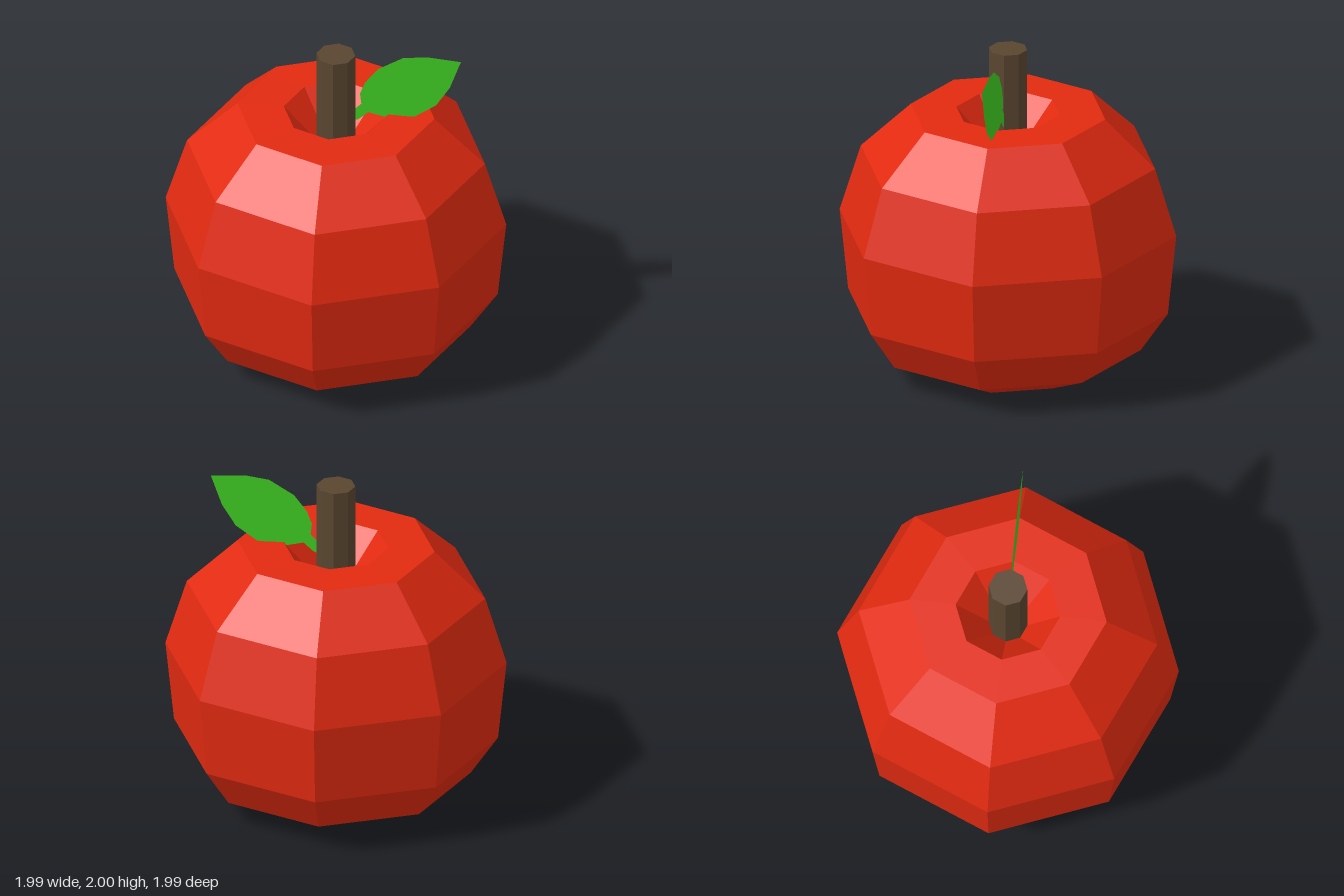
import * as THREE from 'three';

const SIDES = 8;

function part(name, geometry, color, side = THREE.FrontSide) {
  const material = new THREE.MeshStandardMaterial({ color, flatShading: true, side });
  const mesh = new THREE.Mesh(geometry, material);
  mesh.name = name;
  return mesh;
}

export function createModel() {
  const model = new THREE.Group();
  model.name = 'apple';

  // Faceted body: bottom hollow, outer wall, top hollow and a narrow core
  const profile = [
    [0.11, 0.12], [0.26, 0.05], [0.47, 0.005], [0.785, 0.15], [0.945, 0.39],
    [0.995, 0.88], [0.87, 1.29], [0.575, 1.575], [0.305, 1.58], [0.11, 1.36], [0.11, 0.12],
  ].map(([r, y]) => new THREE.Vector2(r, y));
  model.add(part('body', new THREE.LatheGeometry(profile, SIDES), 0xe22a10));

  // Stem rising out of the top hollow
  const stem = part('stem', new THREE.CylinderGeometry(0.113, 0.113, 0.67, SIDES), 0x5a4630);
  stem.position.y = 1.635;
  model.add(stem);

  // Flat leaf with a short stalk, attached to the stem
  const outline = [
    [0.08, 1.52], [0.13, 1.53], [0.19, 1.585], [0.31, 1.555], [0.46, 1.58], [0.585, 1.67],
    [0.665, 1.8], [0.73, 1.985], [0.53, 2], [0.39, 1.98], [0.245, 1.89], [0.17, 1.79],
    [0.14, 1.71], [0.148, 1.64], [0.08, 1.57],
  ].map(([x, y]) => new THREE.Vector2(x, y));
  const leaf = new THREE.ShapeGeometry(new THREE.Shape(outline));
  model.add(part('leaf', leaf, 0x3fcc22, THREE.DoubleSide));

  return model;
}
